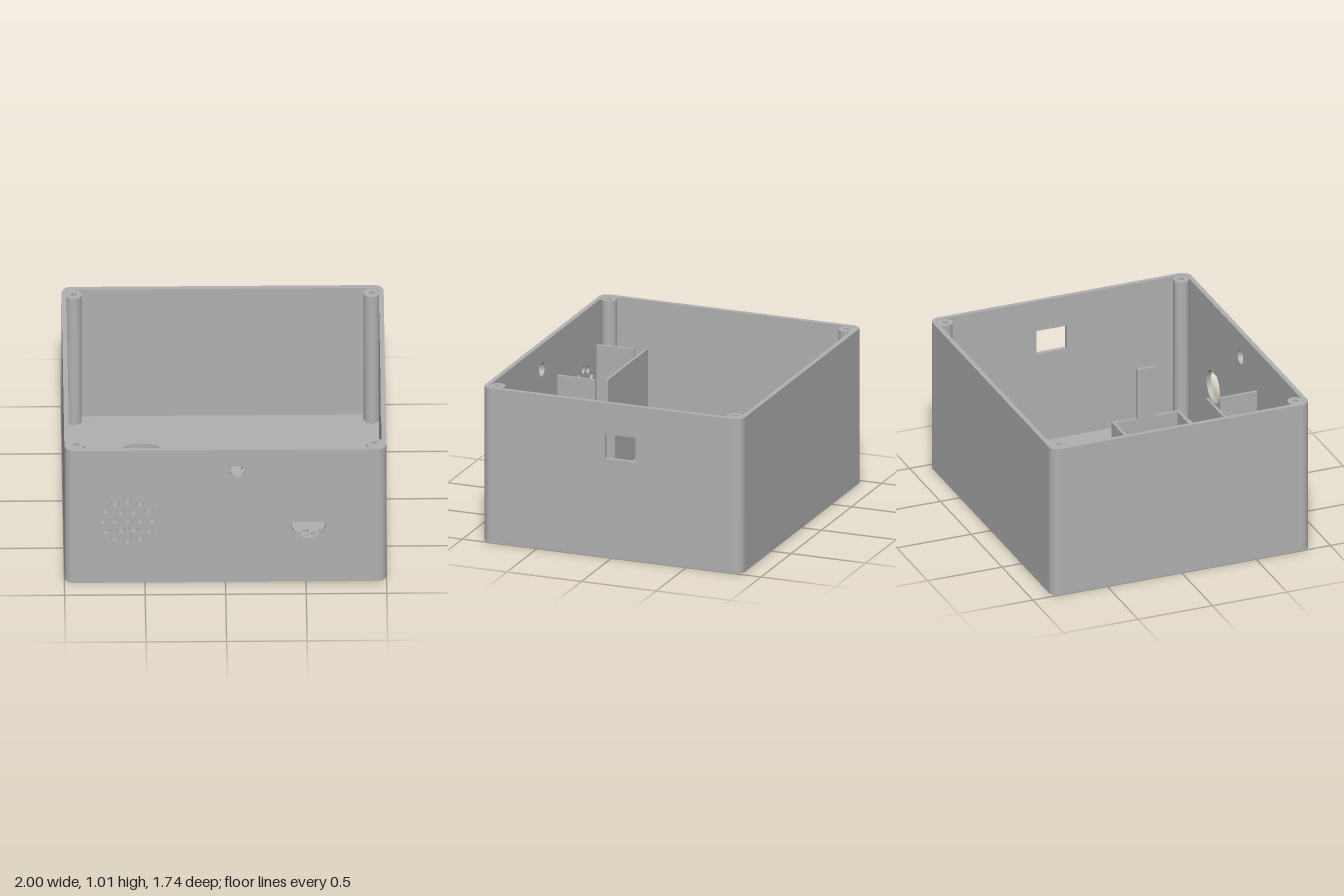
import * as THREE from 'three';
import { toCreasedNormals } from 'three/addons/utils/BufferGeometryUtils.js';

const W = 1, D = 0.87, H = 1.01, T = 0.03, R = 0.06, FLOOR = 0.04;

export function createModel() {
  const model = new THREE.Group();
  model.name = 'enclosure';
  const grey = new THREE.MeshStandardMaterial({ color: 0xb0b0b0 });
  grey.name = 'grey plastic';

  const add = (name, geometry) => {
    const mesh = new THREE.Mesh(geometry, grey);
    mesh.name = name;
    model.add(mesh);
    return mesh;
  };
  const extrude = (shape, depth) => toCreasedNormals(
    new THREE.ExtrudeGeometry(shape, { depth, bevelEnabled: false, curveSegments: 16 }), 0.6);
  const circle = (x, y, r, Kind = THREE.Path) => new Kind().absarc(x, y, r, 0, Math.PI * 2, false);
  const rect = (x0, y0, x1, y1, Kind = THREE.Path) => new Kind(
    [[x0, y0], [x1, y0], [x1, y1], [x0, y1]].map(p => new THREE.Vector2(...p)));
  // Horizontal layer: shape coordinates are (x, -z), extruded upwards
  const layer = (name, shape, y, depth) => {
    const geo = extrude(shape, depth);
    geo.rotateX(-Math.PI / 2).translate(0, y, 0);
    return add(name, geo);
  };
  const box = (name, x0, x1, y0, y1, z0, z1) => add(name,
    new THREE.BoxGeometry(x1 - x0, y1 - y0, z1 - z0)
      .translate((x0 + x1) / 2, (y0 + y1) / 2, (z0 + z1) / 2));

  // Floor outline with rounded corners and all through openings
  const floorShape = () => {
    const s = new THREE.Shape();
    s.absarc(W - R, D - R, R, 0, Math.PI / 2);
    s.absarc(-W + R, D - R, R, Math.PI / 2, Math.PI);
    s.absarc(-W + R, -D + R, R, Math.PI, Math.PI * 1.5);
    s.absarc(W - R, -D + R, R, Math.PI * 1.5, Math.PI * 2);
    s.holes.push(circle(-0.505, 0.355, 0.195), circle(0.28, 0.275, 0.17));
    s.holes.push(rect(-0.77, -0.28, -0.3, 0.05));
    // Vent grid, staggered rows
    for (let row = 0; row < 9; row++) {
      const odd = row % 2;
      for (let i = 0; i < 9 - odd; i++) {
        s.holes.push(circle(-0.053 + 0.093 * (i + odd / 2), -0.385 - row * 0.0288, 0.019));
      }
    }
    return s;
  };
  // Thin lower layer leaves two shallow recesses in the underside
  const underside = floorShape();
  underside.holes.push(rect(-0.07, -0.265, 0.64, -0.17), rect(-0.84, 0.635, -0.2, 0.73));
  layer('floorUnderside', underside, 0, 0.005);
  layer('floor', floorShape(), 0.005, FLOOR - 0.005);

  // Chamfered edge around the display opening
  const loop = (x0, x1, z0, z1, y) => [[x0, y, z0], [x1, y, z0], [x1, y, z1], [x0, y, z1]];
  const loops = [
    loop(-0.77, -0.3, -0.05, 0.28, 0),
    loop(-0.735, -0.33, -0.015, 0.245, FLOOR),
    loop(-0.77, -0.3, -0.05, 0.28, FLOOR),
  ];
  const pos = [];
  for (let k = 0; k < 2; k++) {
    for (let i = 0; i < 4; i++) {
      const j = (i + 1) % 4;
      const [a, b, c, d] = [loops[k][i], loops[k][j], loops[k + 1][j], loops[k + 1][i]];
      pos.push(...a, ...b, ...c, ...a, ...c, ...d);
    }
  }
  const chamfer = new THREE.BufferGeometry();
  chamfer.setAttribute('position', new THREE.Float32BufferAttribute(pos, 3));
  chamfer.computeVertexNormals();
  add('displayOpeningChamfer', chamfer);

  // Front wall: speaker grille, indicator hole and D-shaped hole
  const front = rect(-W + R, FLOOR, W - R, H, THREE.Shape);
  front.holes.push(circle(-0.61, 0.475, 0.024), circle(0.075, 0.845, 0.045));
  for (const [count, radius] of [[6, 0.078], [12, 0.155]]) {
    for (let i = 0; i < count; i++) {
      const a = (i / count) * Math.PI * 2;
      front.holes.push(circle(-0.61 + radius * Math.cos(a), 0.475 + radius * Math.sin(a), 0.024));
    }
  }
  const flat = Math.asin(0.095 / 0.108);
  front.holes.push(new THREE.Path().absarc(0.515, 0.44, 0.108, Math.PI - flat, Math.PI * 2 + flat, false));
  add('frontWall', extrude(front, T)).position.z = D - T;
  add('backWall', extrude(rect(-W + R, FLOOR, W - R, H, THREE.Shape), T)).position.z = -D;

  // Side walls, the left one with a socket window
  for (const side of [1, -1]) {
    const wall = rect(-D + R, FLOOR, D - R, H, THREE.Shape);
    if (side > 0) wall.holes.push(rect(-0.045, 0.645, 0.16, 0.805));
    const geo = extrude(wall, T);
    geo.rotateY(Math.PI / 2);
    add(side > 0 ? 'leftWall' : 'rightWall', geo).position.x = side > 0 ? W - T : -W;
  }

  // Rounded wall corners and screw posts
  for (const sx of [1, -1]) {
    for (const sz of [1, -1]) {
      const start = Math.atan2(-sz, sx) - Math.PI / 4;
      const cx = sx * (W - R), cy = -sz * (D - R);
      const corner = new THREE.Shape();
      corner.absarc(cx, cy, R, start, start + Math.PI / 2, false);
      corner.absarc(cx, cy, R - T, start + Math.PI / 2, start, true);
      layer('wallCorner', corner, FLOOR, H - FLOOR);
      const post = circle(sx * 0.925, -sz * 0.795, 0.05, THREE.Shape);
      post.holes.push(circle(sx * 0.925, -sz * 0.795, 0.018));
      layer('screwPost', post, FLOOR, H - FLOOR - 0.003);
    }
  }

  // Display standoffs
  for (const x of [-0.73, -0.335]) {
    for (const z of [-0.07, 0.295]) {
      const standoff = circle(x, -z, 0.025, THREE.Shape);
      standoff.holes.push(circle(x, -z, 0.012));
      layer('displayStandoff', standoff, FLOOR, 0.05);
    }
  }

  // Tray around the vents with a tall clip on each end
  const tray = rect(-0.16, -0.73, 0.8, -0.275, THREE.Shape);
  tray.holes.push(rect(-0.14, -0.71, 0.78, -0.295));
  layer('ventTray', tray, FLOOR, 0.13);
  for (const x of [-0.16, 0.78]) box('trayClip', x, x + 0.02, FLOOR, 0.51, 0.44, 0.56);

  // Speaker compartment behind the grille
  box('compartmentBase', -0.855, -0.18, FLOOR, 0.09, 0.33, 0.5);
  box('compartmentPanel', -0.845, -0.18, FLOOR, 0.74, 0.503, 0.52);
  box('compartmentLedge', -0.83, -0.195, FLOOR, 0.06, 0.52, 0.58);
  for (const x of [-0.845, -0.197]) box('compartmentSide', x, x + 0.017, FLOOR, 0.73, 0.59, D - T);

  return model;
}
